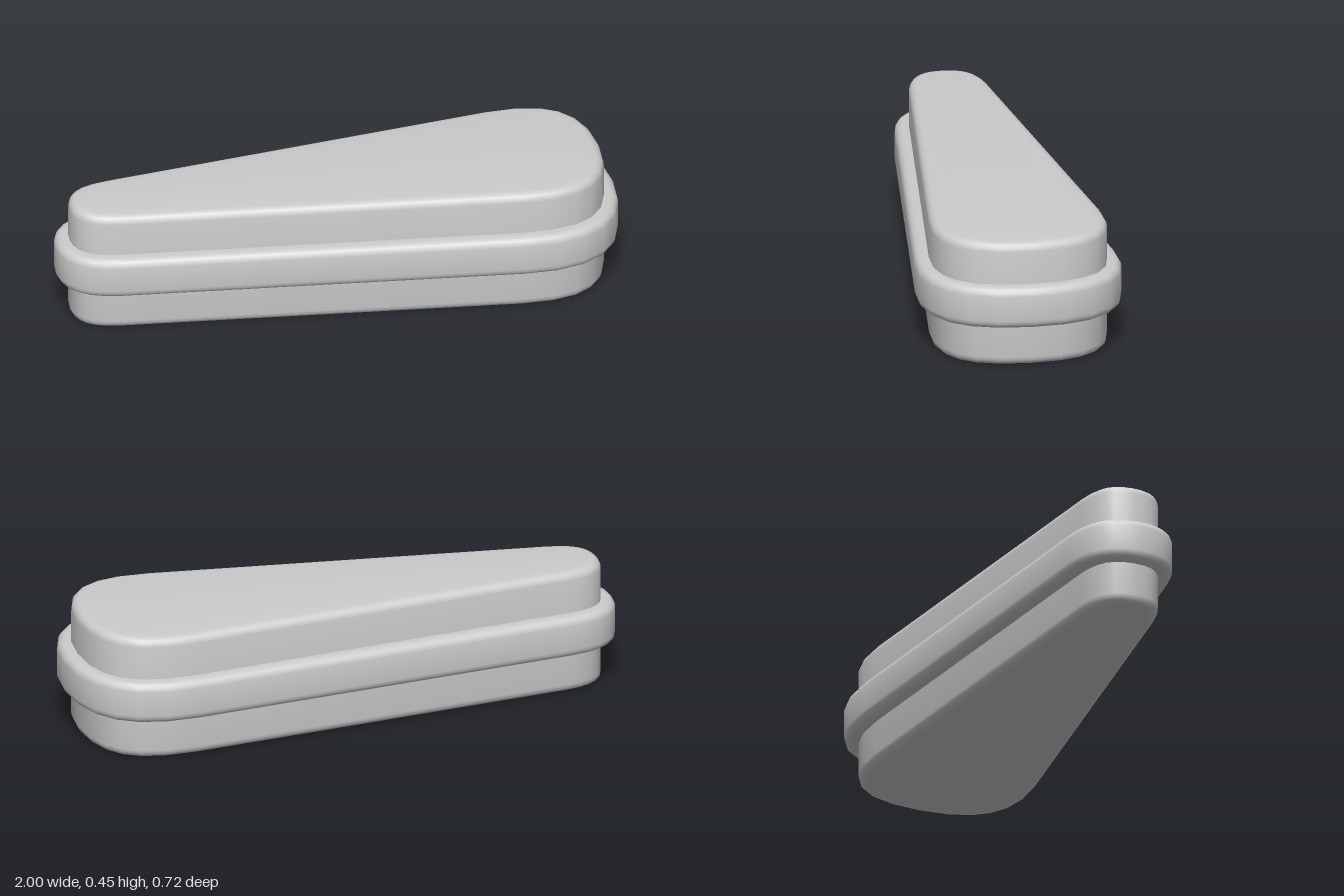
import * as THREE from 'three';
import { toCreasedNormals } from 'three/addons/utils/BufferGeometryUtils.js';

const BEVEL = 0.03;

// Tapered outline: narrow rounded end at -x, broad rounded end at +x
function outline() {
  const s = new THREE.Shape();
  s.moveTo(-0.8, -0.19);
  s.lineTo(0.6, -0.355);
  s.quadraticCurveTo(1, -0.4, 1, 0);
  s.quadraticCurveTo(1, 0.4, 0.6, 0.355);
  s.lineTo(-0.8, 0.19);
  s.quadraticCurveTo(-1, 0.167, -1, 0);
  s.quadraticCurveTo(-1, -0.167, -0.8, -0.19);
  return s;
}

// Slab of the outline, shrunk by inset, with rounded rims
function slab(name, inset, bottom, top, material) {
  let geometry = new THREE.ExtrudeGeometry(outline(), {
    depth: top - bottom - 2 * BEVEL,
    curveSegments: 6,
    bevelThickness: BEVEL,
    bevelSize: BEVEL,
    bevelOffset: -BEVEL - inset,
    bevelSegments: 4,
  });
  geometry.rotateX(-Math.PI / 2);
  geometry.translate(0, bottom + BEVEL, 0);
  geometry = toCreasedNormals(geometry, 0.7);
  const mesh = new THREE.Mesh(geometry, material);
  mesh.name = name;
  return mesh;
}

export function createModel() {
  const group = new THREE.Group();
  group.name = 'taperedCase';
  const material = new THREE.MeshStandardMaterial({ color: 0xcccccc });
  group.add(slab('body', 0.05, 0, 0.45, material));
  group.add(slab('band', 0, 0.15, 0.3, material));
  return group;
}
